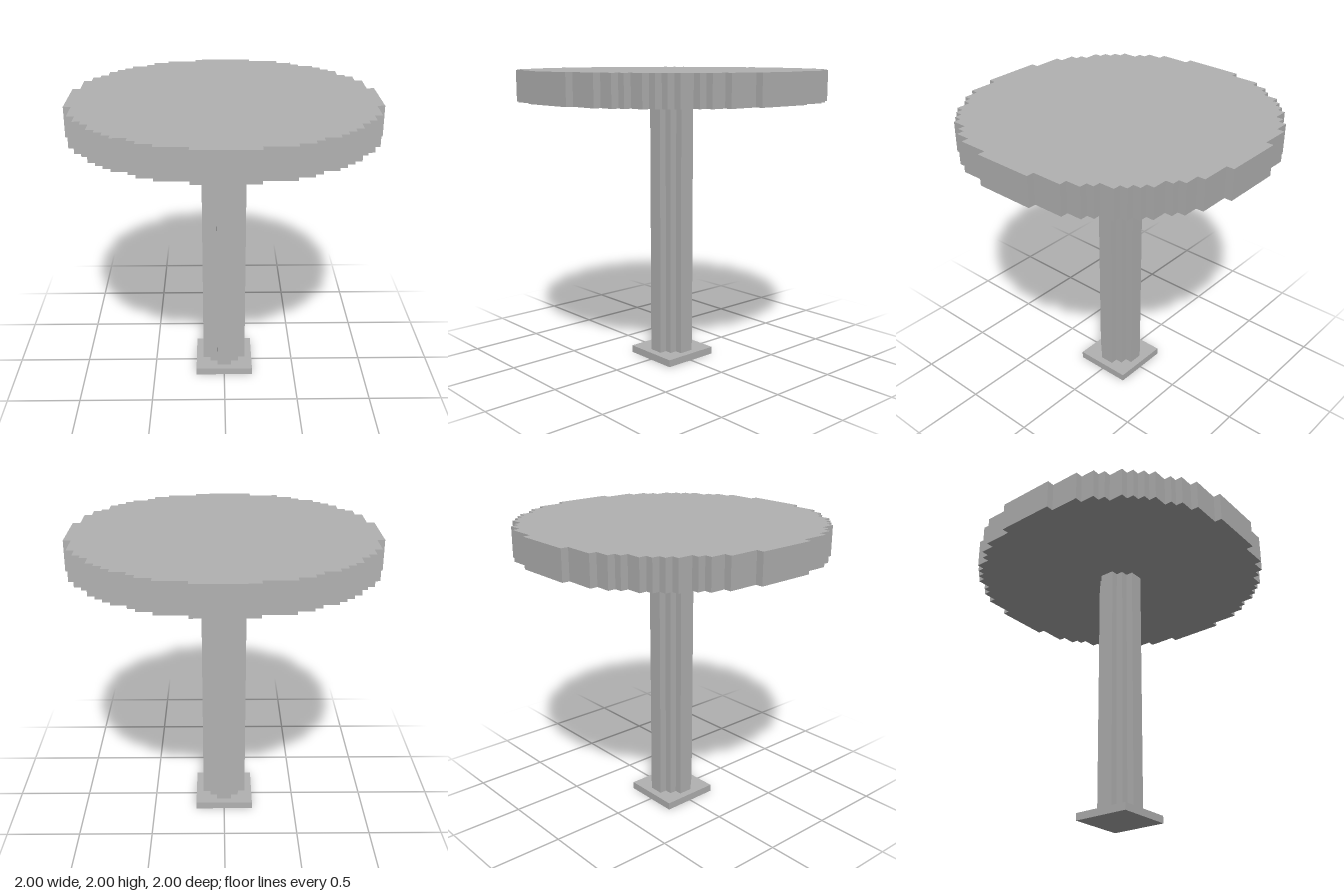
import * as THREE from 'three';

const UNIT = 0.05; // size of one block

// Stepped disc outline: each [x, y] is an outer corner of the first quadrant,
// in blocks, running from the +x side round to the +y side.
function steppedShape(corners) {
  const quarter = [];
  corners.forEach(([x, y], i) => {
    if (i > 0) quarter.push([x, corners[i - 1][1]]); // inner corner of the step
    quarter.push([x, y]);
  });
  const points = [];
  let ring = quarter;
  for (let q = 0; q < 4; q++) {
    ring.forEach(([x, y]) => points.push(new THREE.Vector2(x * UNIT, y * UNIT)));
    ring = ring.map(([x, y]) => [-y, x]); // quarter turn
  }
  return new THREE.Shape(points);
}

// Upright prism standing on height y
function steppedPrism(name, corners, y, height, material) {
  const geometry = new THREE.ExtrudeGeometry(steppedShape(corners), { depth: height, bevelEnabled: false });
  geometry.rotateX(-Math.PI / 2);
  const mesh = new THREE.Mesh(geometry, material);
  mesh.name = name;
  mesh.position.y = y;
  return mesh;
}

export function createModel() {
  const model = new THREE.Group();
  model.name = 'roundTable';
  const grey = new THREE.MeshStandardMaterial({ color: 0xb2b2b2 });
  grey.name = 'grey';

  // Square foot
  const foot = new THREE.Mesh(new THREE.BoxGeometry(0.4, 0.05, 0.4), grey);
  foot.name = 'foot';
  foot.position.y = 0.025;
  model.add(foot);

  // Stepped column
  model.add(steppedPrism('column', [[3, 1], [2, 2], [1, 3]], 0.05, 1.75, grey));

  // Round top with stepped rim
  const rim = [
    [20, 4], [19, 8], [18, 10], [17, 11], [16, 13], [15, 14],
    [14, 15], [13, 16], [11, 17], [10, 18], [8, 19], [4, 20],
  ];
  model.add(steppedPrism('tableTop', rim, 1.8, 0.2, grey));

  return model;
}
